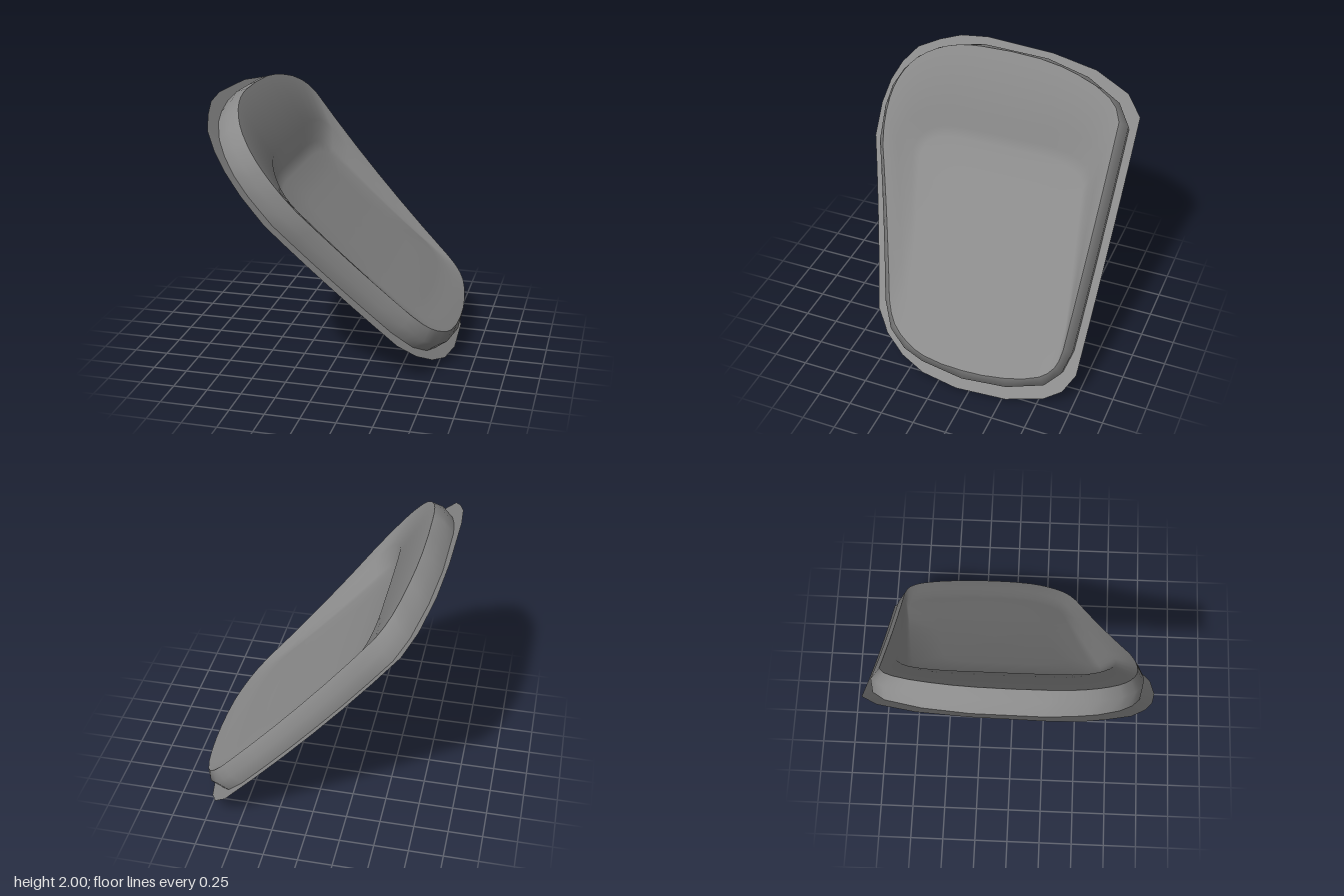
import * as THREE from 'three';
import { toCreasedNormals } from 'three/addons/utils/BufferGeometryUtils.js';

// Outlines as [z, y] pairs measured along the curved base sheet, all in matching order
const flangeOutline = [
  [-0.15, 0], [0.13, 0.03], [0.32, 0.09], [0.48, 0.18], [0.6, 0.3], [0.98, 1.25], [0.99, 1.45],
  [0.96, 1.6], [0.9, 1.72], [0.8, 1.83], [0.64, 1.9], [0.48, 1.95], [0.27, 1.97], [-0.25, 1.95],
  [-0.6, 1.9], [-0.87, 1.8], [-0.99, 1.68], [-0.99, 0.23], [-0.92, 0.13], [-0.8, 0.07], [-0.53, 0.015],
];
const rimOutline = [
  [-0.2, 0.07], [0.12, 0.1], [0.28, 0.14], [0.42, 0.22], [0.52, 0.36], [0.88, 1.22], [0.9, 1.42],
  [0.88, 1.55], [0.82, 1.66], [0.73, 1.75], [0.58, 1.83], [0.43, 1.87], [0.24, 1.9], [-0.25, 1.89],
  [-0.57, 1.83], [-0.83, 1.72], [-0.93, 1.6], [-0.93, 0.35], [-0.89, 0.23], [-0.79, 0.15], [-0.53, 0.09],
];
const crestOutline = [
  [-0.2, 0.1], [0.1, 0.12], [0.25, 0.165], [0.38, 0.24], [0.47, 0.36], [0.83, 1.2], [0.865, 1.4],
  [0.85, 1.55], [0.8, 1.66], [0.72, 1.75], [0.58, 1.83], [0.43, 1.875], [0.24, 1.895], [-0.22, 1.89],
  [-0.52, 1.84], [-0.78, 1.745], [-0.885, 1.62], [-0.89, 0.34], [-0.86, 0.24], [-0.77, 0.175], [-0.52, 0.12],
];
const shelfOutline = [
  [-0.2, 0.2], [0.1, 0.23], [0.24, 0.27], [0.36, 0.34], [0.43, 0.47], [0.7, 1.15], [0.73, 1.25],
  [0.71, 1.34], [0.65, 1.41], [0.58, 1.46], [0.47, 1.5], [0.36, 1.51], [0.2, 1.515], [-0.22, 1.515],
  [-0.5, 1.51], [-0.7, 1.47], [-0.8, 1.38], [-0.87, 0.42], [-0.83, 0.32], [-0.74, 0.25], [-0.52, 0.21],
];
const floorOutline = [
  [-0.2, 0.32], [0.08, 0.34], [0.2, 0.38], [0.32, 0.45], [0.38, 0.55], [0.55, 1.12], [0.57, 1.2],
  [0.55, 1.26], [0.5, 1.3], [0.43, 1.325], [0.35, 1.335], [0.27, 1.34], [0.15, 1.34], [-0.2, 1.34],
  [-0.45, 1.335], [-0.62, 1.3], [-0.71, 1.22], [-0.84, 0.5], [-0.79, 0.42], [-0.7, 0.37], [-0.5, 0.34],
];
const CENTRE = [-0.13, 0.85];

// Splits every edge; the two long sides stay straight, other edges may be rounded
function refine(outline, rounded) {
  const n = outline.length;
  const curve = new THREE.CatmullRomCurve3(outline.map(([z, y]) => new THREE.Vector3(z, y, 0)), true);
  return outline.flatMap((p, i) => {
    const q = outline[(i + 1) % n];
    const long = i === 4 || i === 16;
    const steps = long ? 6 : 2;
    return Array.from({ length: steps }, (_, k) => {
      const t = k / steps;
      if (rounded && !long) {
        const c = curve.getPoint((i + t) / n);
        return [c.x, c.y];
      }
      return [p[0] + (q[0] - p[0]) * t, p[1] + (q[1] - p[1]) * t];
    });
  });
}

// Point on the curved base sheet, lifted by h along the sheet's normal
function onSheet(z, y, h) {
  const slope = 1 - 0.154 * y;
  const len = Math.hypot(1, slope);
  return [0.82 - y + 0.077 * y * y + h / len, y + h * slope / len, z];
}

// The floor is deepest at the upper end and rises to the crest at the lower end
const floorHeight = (y) => 0.035 + Math.max(0, 0.14 * (1 - (y - 0.12) / 1.22));
const level = (outline, h) => outline.map(([z, y]) => [z, y, h]);
const onFloor = (outline) => outline.map(([z, y]) => [z, y, floorHeight(y)]);
const toCentre = (outline, t) => outline.map(([z, y]) => [z + (CENTRE[0] - z) * t, y + (CENTRE[1] - y) * t]);

// Ring between a and b: t of the way across, th of the way down
const between = (a, b, t, th) => a.map((p, i) => p.map((v, k) => v + (b[i][k] - v) * (k < 2 ? t : th)));

// Surface through closed rings of [z, y, h], from outside to inside
function loft(rings, crease) {
  const n = rings[0].length;
  const index = [];
  for (let r = 0; r < rings.length - 1; r++) {
    for (let i = 0; i < n; i++) {
      const a = r * n + i, b = r * n + (i + 1) % n;
      index.push(a, a + n, b, b, a + n, b + n);
    }
  }
  const g = new THREE.BufferGeometry();
  g.setAttribute('position', new THREE.Float32BufferAttribute(rings.flat().flatMap((p) => onSheet(...p)), 3));
  g.setIndex(index);
  return toCreasedNormals(g, crease);
}

export function createModel() {
  const group = new THREE.Group();
  const material = new THREE.MeshStandardMaterial({ color: 0x8a8a8a, side: THREE.DoubleSide });
  const add = (name, rings, crease) => {
    const mesh = new THREE.Mesh(loft(rings, crease), material);
    mesh.name = name;
    group.add(mesh);
  };

  const rim = refine(rimOutline, false);
  const crest = level(refine(crestOutline, true), 0.18);
  const shelf = refine(shelfOutline, true).map(([z, y]) => [z, y, Math.max(0.14, floorHeight(y) + 0.005)]);
  const floorEdge = refine(floorOutline, true);
  const floor = onFloor(floorEdge);

  // Flat border that follows the curved sheet
  add('flange', [level(refine(flangeOutline, false), 0), level(rim, 0)], 0.6);

  // Raised outer wall, bulging slightly before it turns in to the crest
  add('rimWall', [level(rim, 0), level(toCentre(rim, -0.015), 0.1), crest], 1);

  // Gentle shelf inside the crest, a steep wall with a rounded foot, then the sloping floor
  const foot = between(shelf, floor, 0.62, 0.88);
  const inner = [0.35, 0.7, 0.999].map((t) => onFloor(toCentre(floorEdge, t)));
  add('recess', [crest, shelf, foot, floor, ...inner], 1);

  return group;
}
